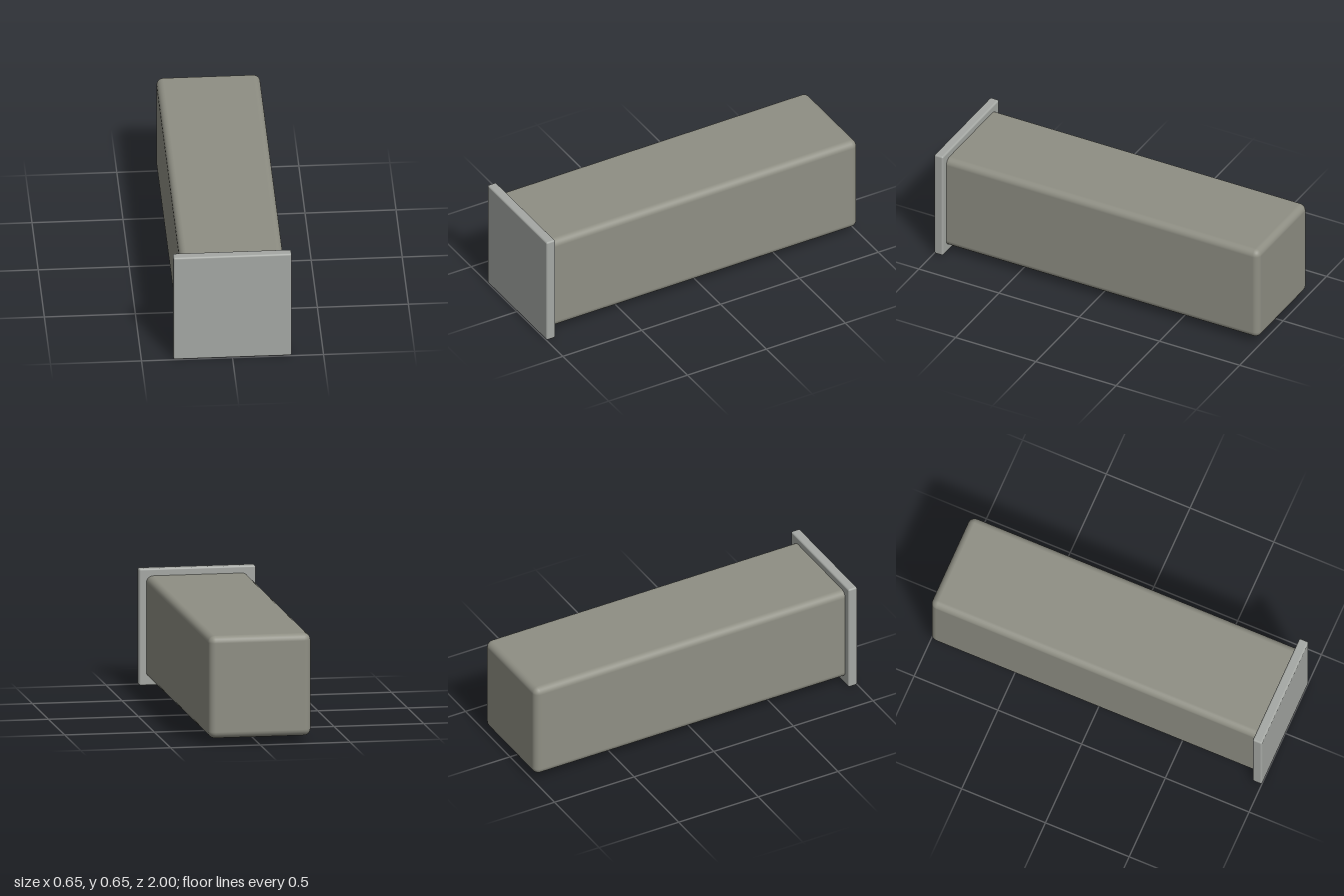
import * as THREE from 'three';
import { RoundedBoxGeometry } from 'three/addons/geometries/RoundedBoxGeometry.js';

const CENTRE_Y = 0.325;

// Square block with softened edges, spanning zBack to zFront
function roundedBlock(name, size, zBack, zFront, radius, color) {
  const geometry = new RoundedBoxGeometry(size, size, zFront - zBack, 3, radius);
  const mesh = new THREE.Mesh(geometry, new THREE.MeshStandardMaterial({ color }));
  mesh.name = name;
  mesh.position.set(0, CENTRE_Y, (zBack + zFront) / 2);
  return mesh;
}

export function createModel() {
  const model = new THREE.Group();
  model.name = 'flangedBlock';
  model.add(
    // Long body, its front end set inside the plate
    roundedBlock('body', 0.57, -1, 0.99, 0.038, 0x8f8f84),
    // Wider thin plate closing the front
    roundedBlock('frontPlate', 0.65, 0.945, 1, 0.01, 0xa5a8a4)
  );
  return model;
}
